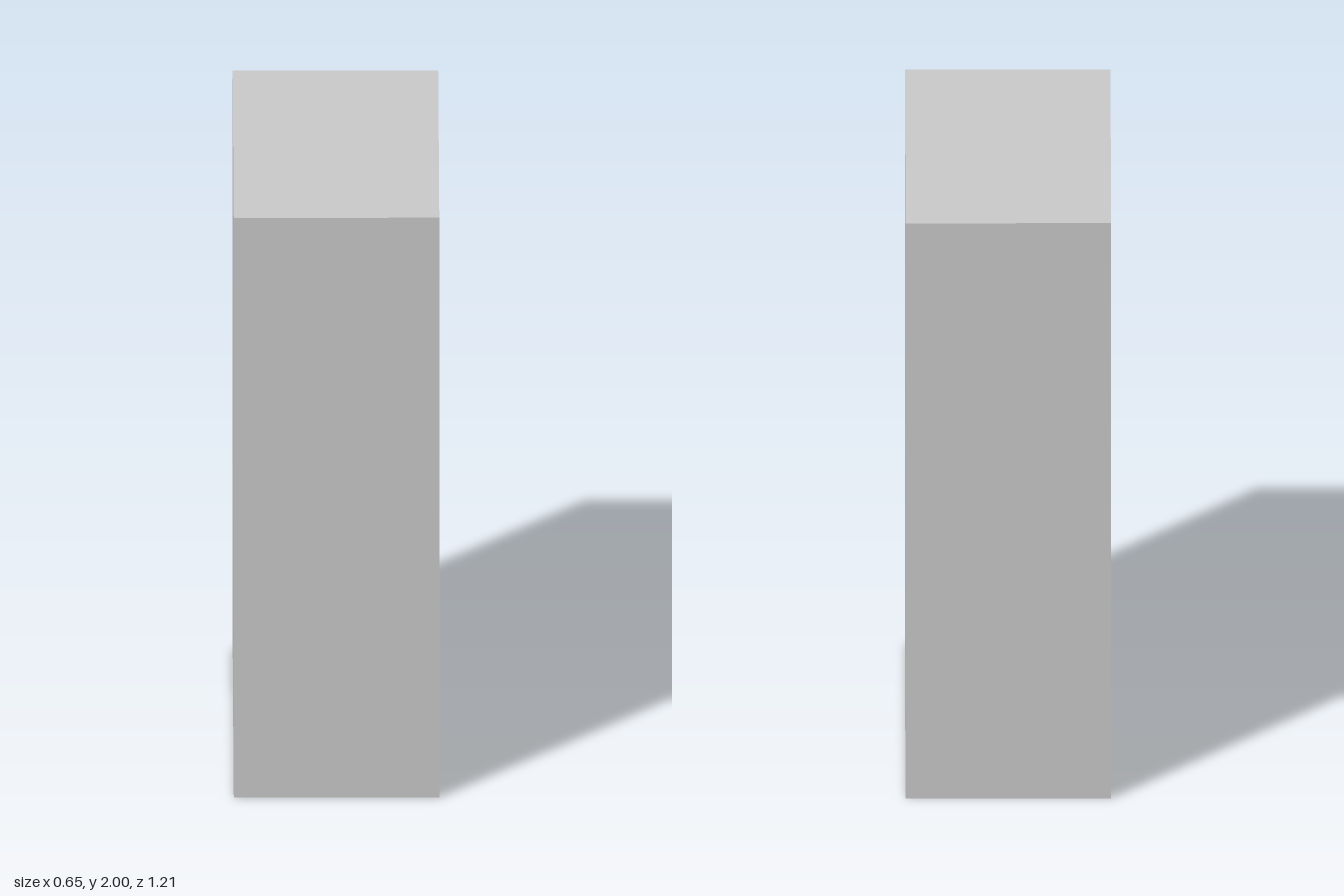
import * as THREE from 'three';
import { mergeVertices } from 'three/addons/utils/BufferGeometryUtils.js';

const W = 0.654, H = 2, D = 1.214;              // cabinet size in x, y, z
const POCKET = { y0: 0.917, y1: 1.086, z0: 0.032, z1: 0.119, depth: 0.03 };
const GRIP_Z = 0.079;                           // outer edge of the grip bar

// Box without its +x face
function openBox(w, h, d) {
  const g = new THREE.BoxGeometry(w, h, d);
  g.setIndex(Array.from(g.index.array).slice(6));
  g.clearGroups();
  return g;
}

// Box whose corners share rounded-looking normals
function softBox(w, h, d) {
  const g = new THREE.BoxGeometry(w, h, d);
  g.deleteAttribute('normal');
  g.deleteAttribute('uv');
  const m = mergeVertices(g);
  m.computeVertexNormals();
  return m;
}

export function createModel() {
  const group = new THREE.Group();
  const grey = new THREE.MeshStandardMaterial({ color: 0xcccccc });
  const thin = new THREE.MeshStandardMaterial({ color: 0xcccccc, side: THREE.DoubleSide });

  const add = (name, geometry, material, x, y, z) => {
    const mesh = new THREE.Mesh(geometry, material);
    mesh.name = name;
    mesh.position.set(x, y, z);
    group.add(mesh);
  };

  // Carcass: back, sides, top and bottom
  add('carcass', openBox(W, H, D), thin, 0, H / 2, 0);

  // Door face with two handle openings
  const { y0, y1, z0, z1, depth } = POCKET;
  const face = new THREE.Shape([
    new THREE.Vector2(-D / 2, 0), new THREE.Vector2(D / 2, 0),
    new THREE.Vector2(D / 2, H), new THREE.Vector2(-D / 2, H),
  ]);
  for (const s of [1, -1]) {
    face.holes.push(new THREE.Path([
      new THREE.Vector2(s * z0, y0), new THREE.Vector2(s * z0, y1),
      new THREE.Vector2(s * z1, y1), new THREE.Vector2(s * z1, y0),
    ]));
  }
  add('doorFace', new THREE.ShapeGeometry(face).rotateY(Math.PI / 2), thin, W / 2, 0, 0);

  // Recessed pockets, each with a grip bar along its inner side
  const x = W / 2 - depth / 2, y = (y0 + y1) / 2, h = y1 - y0;
  for (const [side, s] of [['front', 1], ['back', -1]]) {
    add(side + 'HandlePocket', openBox(depth, h, z1 - z0), thin, x, y, s * (z0 + z1) / 2);
    add(side + 'HandleGrip', softBox(depth, h, GRIP_Z - z0), grey, x, y, s * (z0 + GRIP_Z) / 2);
  }
  return group;
}
